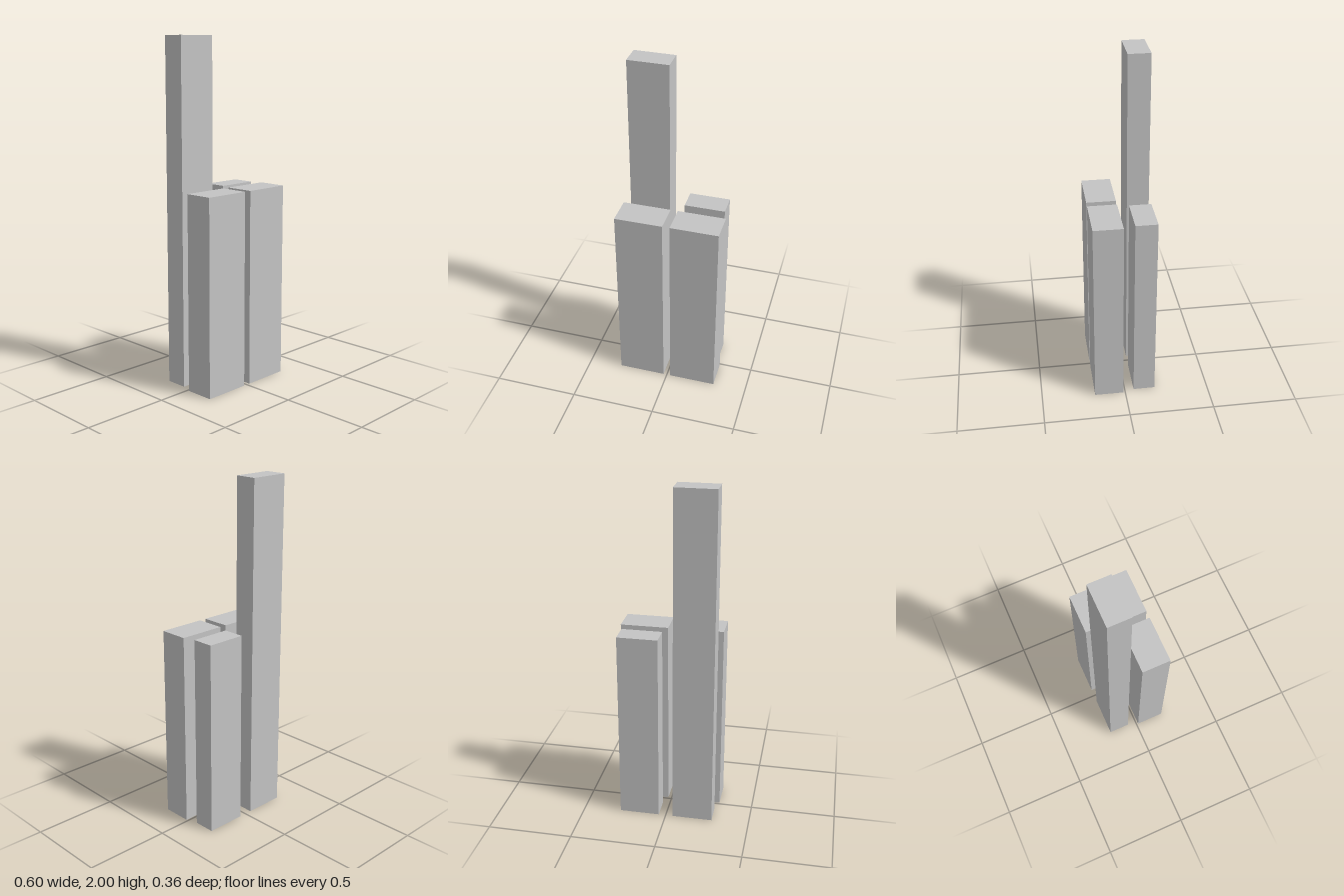
import * as THREE from 'three';

export function createModel() {
  const group = new THREE.Group();
  const lightGrey = new THREE.MeshStandardMaterial({ color: 0xc4c4c4 });
  lightGrey.name = 'lightGrey';

  // Upright block standing on the ground
  function addBlock(name, width, height, depth, x, z) {
    const mesh = new THREE.Mesh(new THREE.BoxGeometry(width, height, depth), lightGrey);
    mesh.name = name;
    mesh.position.set(x, height / 2, z);
    group.add(mesh);
  }

  const lowHeight = 1.143;
  const tallHeight = 2;

  // Wide front pair and slimmer back pair; the right back block is the tall one
  for (const side of [-1, 1]) {
    const label = side > 0 ? 'left' : 'right';
    addBlock(label + 'FrontBlock', 0.279, lowHeight, 0.171, side * 0.161, 0.097);
    addBlock(label + 'BackBlock', 0.236, side < 0 ? tallHeight : lowHeight, 0.128, side * 0.161, -0.118);
  }

  return group;
}
